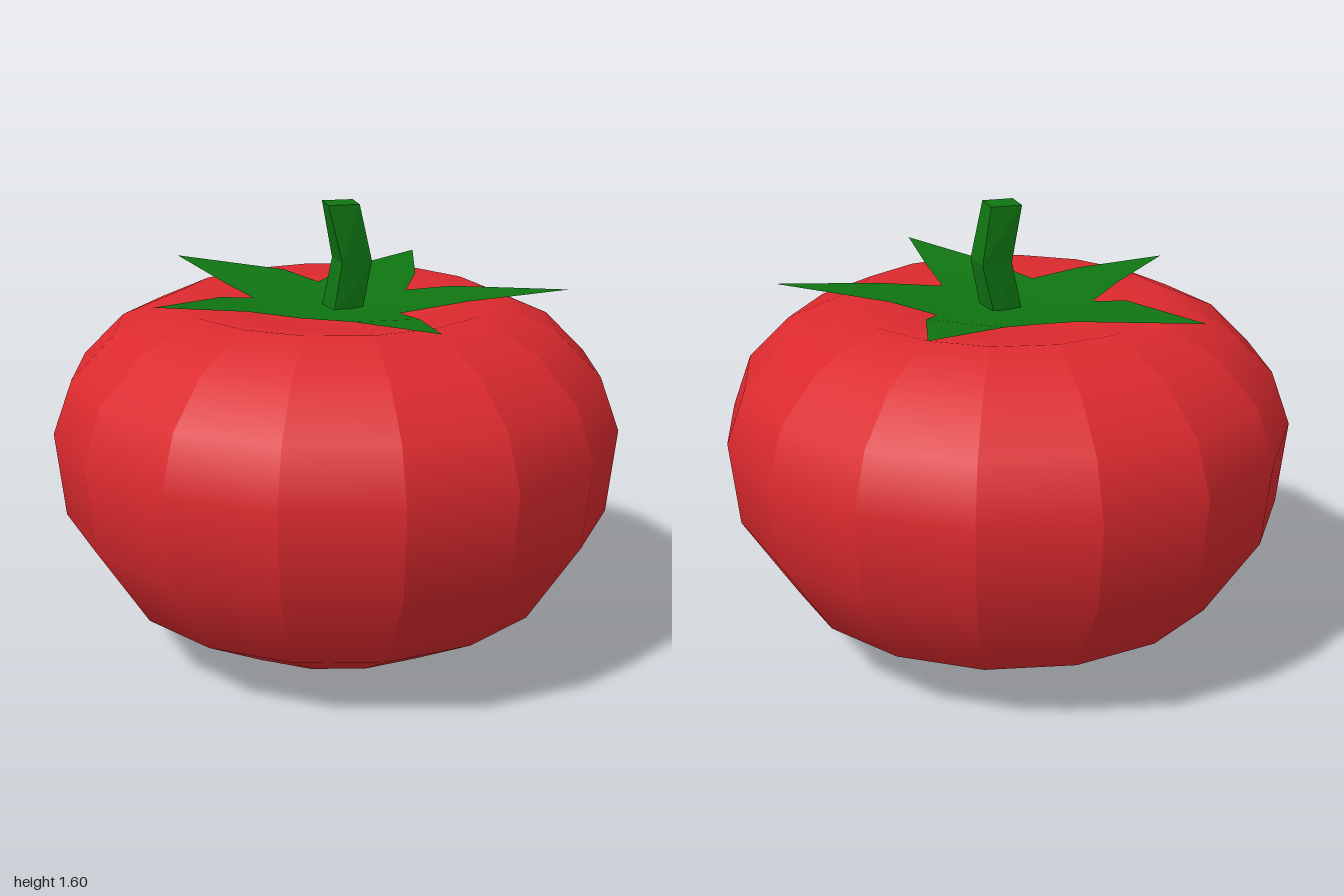
import * as THREE from 'three';
import { mergeVertices } from 'three/addons/utils/BufferGeometryUtils.js';

const SIDES = 16;

// Lathed fruit: normals are smooth up each column, faceted around
function fruitGeometry() {
  const profile = [
    [0, 0], [0.18, 0.005], [0.48, 0.06], [0.78, 0.23], [0.97, 0.53], [1, 0.83],
    [0.93, 1.02], [0.78, 1.17], [0.56, 1.268], [0.3, 1.22], [0, 1.19],
  ].map(([r, y]) => new THREE.Vector2(r, y));
  const geo = new THREE.LatheGeometry(profile, SIDES).toNonIndexed();
  const pos = geo.attributes.position, nor = geo.attributes.normal;
  for (let i = 0; i < pos.count; i += 3) {
    let cx = 0, cz = 0;
    for (let k = 0; k < 3; k++) { cx += pos.getX(i + k); cz += pos.getZ(i + k); }
    const step = (Math.PI * 2) / SIDES;
    const column = (Math.floor(Math.atan2(cx, cz) / step) + 0.5) * step;
    for (let k = i; k < i + 3; k++) {
      // keep the inward lean of the dimple
      const outward = nor.getX(k) * pos.getX(k) + nor.getZ(k) * pos.getZ(k) < 0 ? -1 : 1;
      const h = outward * Math.hypot(nor.getX(k), nor.getZ(k));
      nor.setXYZ(k, Math.sin(column) * h, nor.getY(k), Math.cos(column) * h);
    }
  }
  return geo;
}

// Five pointed leaves around a sunken centre, each: notch, edge, tip, edge, notch in x, z
function calyxGeometry() {
  const leaves = [
    [[-0.17, 0.24], [-0.04, 0.44], [0.17, 0.75], [0.18, 0.45], [0.17, 0.24]],
    [[0.17, 0.24], [0.41, 0.245], [0.77, 0.25], [0.42, 0], [0.28, -0.1]],
    [[0.28, -0.1], [0.35, -0.23], [0.42, -0.53], [0.13, -0.39], [0, -0.3]],
    [[0, -0.3], [-0.11, -0.4], [-0.48, -0.62], [-0.36, -0.22], [-0.28, -0.1]],
    [[-0.28, -0.1], [-0.41, 0], [-0.66, 0.21], [-0.35, 0.23], [-0.17, 0.24]],
  ];
  const heights = [1.255, 1.285, 1.31, 1.285, 1.255];
  const points = [];
  for (const leaf of leaves) {
    const [a, b, tip, c, d] = leaf.map(([x, z], i) => [x, heights[i], z]);
    const centre = [0.02, 1.23, 0];
    points.push(centre, a, d, a, b, c, a, c, d, b, tip, c);
  }
  let geo = new THREE.BufferGeometry();
  geo.setAttribute('position', new THREE.Float32BufferAttribute(points.flat(), 3));
  geo = mergeVertices(geo);
  geo.computeVertexNormals();
  return geo;
}

// Four-sided stem, bent in the middle and twisted slightly
function stemGeometry() {
  const geo = new THREE.CylinderGeometry(0.077, 0.077, 0.4, 4, 2, false, Math.PI / 4);
  const pos = geo.attributes.position;
  for (let i = 0; i < pos.count; i++) {
    const level = Math.round((pos.getY(i) + 0.2) / 0.2);
    const twist = [0.2, 0.12, 0][level];
    const x = pos.getX(i), z = pos.getZ(i);
    pos.setXYZ(
      i,
      x * Math.cos(twist) + z * Math.sin(twist) + [0.015, 0.055, 0.015][level],
      [1.2, 1.4, 1.6][level],
      z * Math.cos(twist) - x * Math.sin(twist) + 0.01,
    );
  }
  return geo;
}

export function createModel() {
  const model = new THREE.Group();
  model.name = 'tomato';
  const red = new THREE.MeshStandardMaterial({ color: 0xdc2a2e });
  const leafGreen = new THREE.MeshStandardMaterial({ color: 0x0f7512, side: THREE.DoubleSide });
  const stemGreen = new THREE.MeshStandardMaterial({ color: 0x0f7512, flatShading: true });

  const add = (name, geometry, material) => {
    const mesh = new THREE.Mesh(geometry, material);
    mesh.name = name;
    model.add(mesh);
  };
  add('fruit', fruitGeometry(), red);
  add('calyx', calyxGeometry(), leafGreen);
  add('stem', stemGeometry(), stemGreen);
  return model;
}
